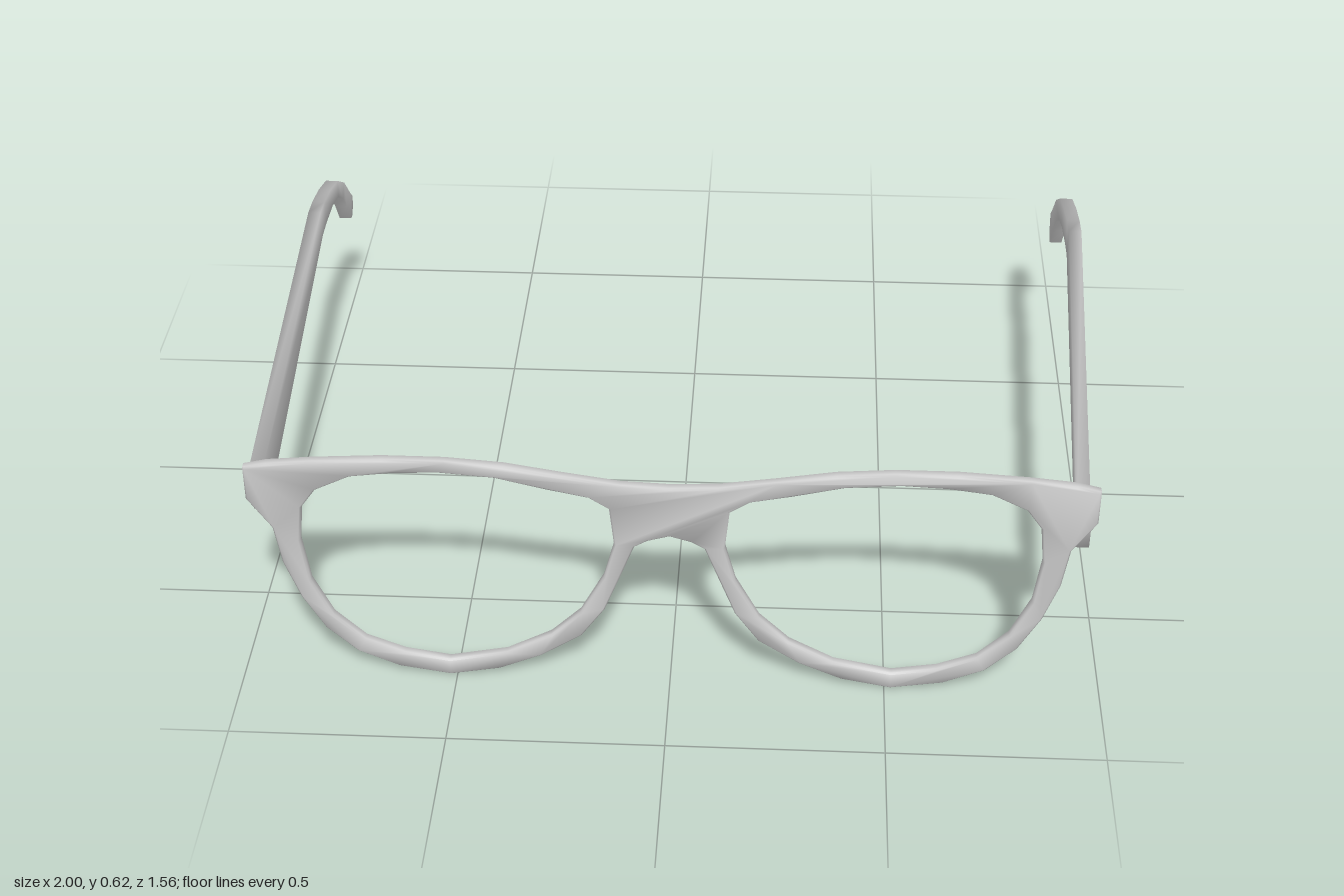
import * as THREE from 'three';
import { toCreasedNormals } from 'three/addons/utils/BufferGeometryUtils.js';

const material = new THREE.MeshStandardMaterial({ color: 0xcccccc });
const toVectors = (pts) => pts.map(([x, y]) => new THREE.Vector2(x, y));
// Mirror in x and reverse, so the winding stays the same
const mirrored = (pts) => pts.map(([x, y]) => [-x, y]).reverse();

// Half of the rim outline, from top centre round to the underside of the bridge
const outline = [
  [0, 0.563], [0.11, 0.568], [0.24, 0.588], [0.37, 0.61], [0.5, 0.62], [0.64, 0.62],
  [0.8, 0.61], [0.9, 0.6], [0.953, 0.587], [0.953, 0.5], [0.9, 0.42], [0.885, 0.32],
  [0.85, 0.22], [0.8, 0.13], [0.73, 0.062], [0.635, 0.02], [0.515, 0], [0.4, 0.022],
  [0.3, 0.066], [0.205, 0.13], [0.15, 0.21], [0.11, 0.315], [0.08, 0.395], [0.05, 0.413],
  [0, 0.428],
];

// Lens opening, counter-clockwise
const opening = [
  [0.515, 0.045], [0.62, 0.063], [0.71, 0.1], [0.78, 0.17], [0.825, 0.27], [0.84, 0.385],
  [0.83, 0.48], [0.795, 0.53], [0.715, 0.57], [0.62, 0.583], [0.515, 0.588], [0.39, 0.578],
  [0.275, 0.55], [0.18, 0.53], [0.135, 0.5], [0.125, 0.4], [0.15, 0.305], [0.205, 0.2],
  [0.275, 0.13], [0.38, 0.073],
];

function frontFrame() {
  const shape = new THREE.Shape(toVectors([...outline, ...mirrored(outline.slice(1, -1))]).reverse());
  shape.holes.push(...[opening, mirrored(opening)].map((p) => new THREE.Path(toVectors(p).reverse())));
  const geometry = new THREE.ExtrudeGeometry(shape, {
    depth: 0.016, bevelThickness: 0.004, bevelSize: 0.004, bevelOffset: -0.004, bevelSegments: 1,
  });
  geometry.translate(0, 0, 0.76);
  const mesh = new THREE.Mesh(toCreasedNormals(geometry, 1.1), material);
  mesh.name = 'frontFrame';
  return mesh;
}

// Temple sections from hinge to ear tip: top z, top y, bottom z, bottom y
const BEND = -0.35;
const sections = [
  [0.76, 0.48, 0.76, 0.419], [BEND, 0.577, BEND, 0.507], [-0.41, 0.574, -0.413, 0.506],
  [-0.5, 0.558, -0.51, 0.496], [-0.6, 0.528, -0.593, 0.47], [-0.685, 0.474, -0.65, 0.428],
  [-0.753, 0.402, -0.69, 0.378], [-0.78, 0.377, -0.735, 0.31], [-0.778, 0.348, -0.753, 0.306],
];

// side is +1 or -1; the lifts raise the top and bottom at the hinge and the bottom at the tip
function temple(name, side, topLift, bottomLift, tipLift) {
  const half = 0.016;
  const toHinge = (z) => Math.max(0, z - BEND) / 1.11;
  const toTip = (z) => Math.max(0, BEND - z) / 0.4;
  const centre = (z) => side * (0.984 - 0.059 * toHinge(z));
  const positions = [];
  const index = [];
  sections.forEach(([zt, yt, zb, yb], i) => {
    const top = yt + topLift * toHinge(zt);
    const bottom = yb + bottomLift * toHinge(zb) + tipLift * toTip(zb);
    positions.push(
      centre(zt) + half, top, zt, centre(zb) + half, bottom, zb,
      centre(zb) - half, bottom, zb, centre(zt) - half, top, zt,
    );
    if (i === 0) return;
    const a = (i - 1) * 4;
    for (let k = 0; k < 4; k++) {
      const n = (k + 1) % 4;
      index.push(a + k, a + n, a + 4 + n, a + k, a + 4 + n, a + 4 + k);
    }
  });
  // End caps
  const e = (sections.length - 1) * 4;
  index.push(0, 3, 2, 0, 2, 1, e, e + 1, e + 2, e, e + 2, e + 3);
  const geometry = new THREE.BufferGeometry();
  geometry.setAttribute('position', new THREE.Float32BufferAttribute(positions, 3));
  geometry.setIndex(index);
  geometry.computeVertexNormals();
  const mesh = new THREE.Mesh(geometry, material);
  mesh.name = name;
  return mesh;
}

export function createModel() {
  const model = new THREE.Group();
  model.name = 'eyeglasses';
  // The right arm sits level, the left one dips towards its hinge
  model.add(
    frontFrame(),
    temple('leftTemple', 1, 0, 0, 0),
    temple('rightTemple', -1, 0.097, 0.04, 0.022),
  );
  return model;
}
